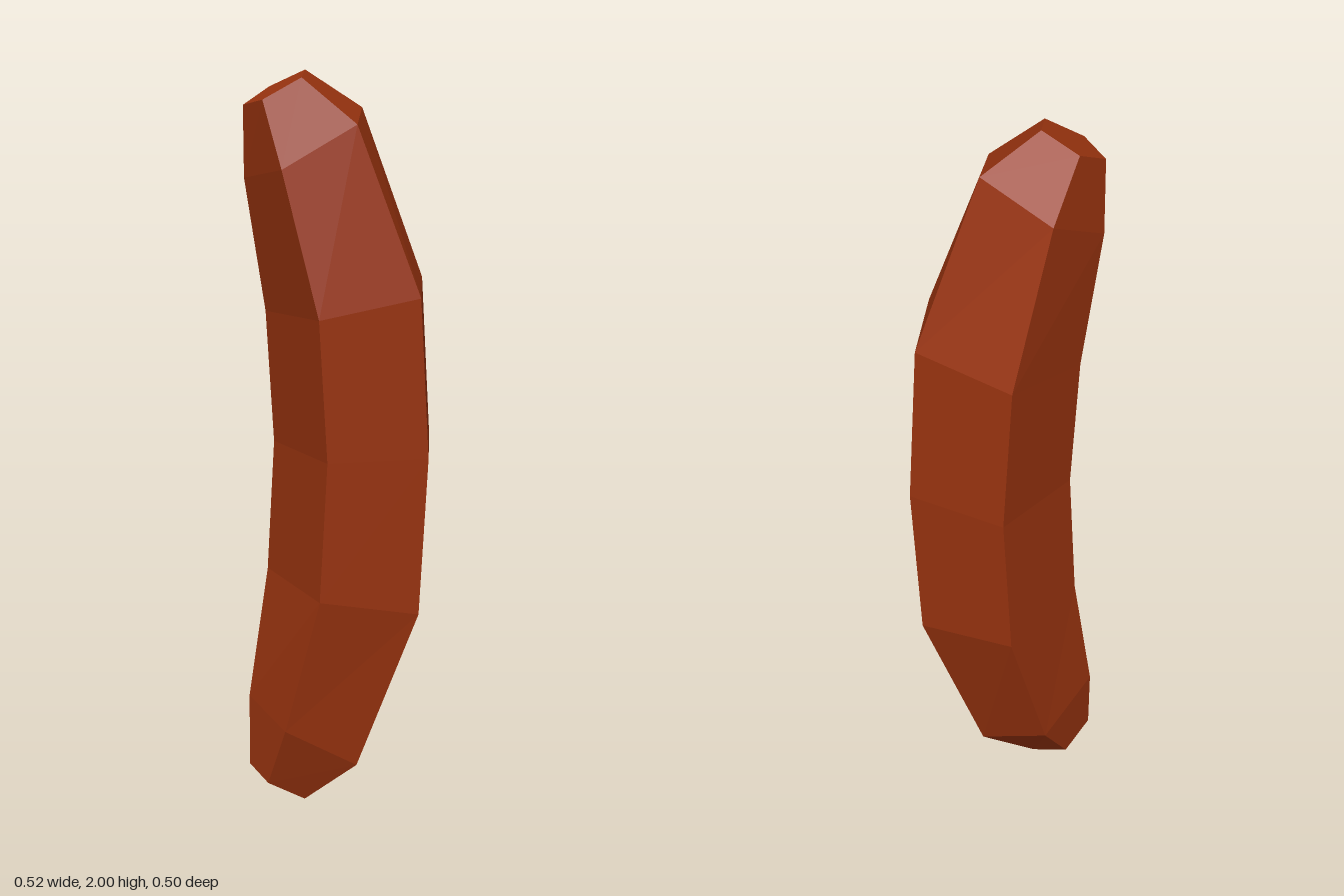
import * as THREE from 'three';

const SIDES = 5;

// Half of the curved body, middle to tip:
// centre x, centre y, radius across x, tilt (rise of y across x), radius across z
const HALF = [
  [0.04, 1.0, 0.231, 0, 0.276],
  [0.0175, 1.4, 0.229, 0.042, 0.276],
  [-0.1, 1.81, 0.168, 0.095, 0.19],
  [-0.1825, 1.955, 0.087, 0.047, 0.0995],
];

// Loft through five-sided rings, closed at both ends
function loft(rings) {
  const positions = [];
  const index = [];
  for (const [cx, cy, rx, tilt, rz] of rings) {
    for (let k = 0; k < SIDES; k++) {
      const a = (k / SIDES) * Math.PI * 2;
      positions.push(cx + rx * Math.sin(a), cy + tilt * Math.sin(a), 0.026 - rz * Math.cos(a));
    }
  }
  for (let r = 0; r < rings.length - 1; r++) {
    for (let k = 0; k < SIDES; k++) {
      const a = r * SIDES + k;
      const b = r * SIDES + ((k + 1) % SIDES);
      index.push(a, a + SIDES, b, b, a + SIDES, b + SIDES);
    }
  }
  const top = (rings.length - 1) * SIDES;
  for (let k = 1; k < SIDES - 1; k++) {
    index.push(0, k, k + 1);
    index.push(top, top + k + 1, top + k);
  }
  const indexed = new THREE.BufferGeometry();
  indexed.setAttribute('position', new THREE.Float32BufferAttribute(positions, 3));
  indexed.setIndex(index);
  const geometry = indexed.toNonIndexed();
  geometry.computeVertexNormals();
  return geometry;
}

export function createModel() {
  const group = new THREE.Group();
  group.name = 'sausage';

  const skin = new THREE.MeshStandardMaterial({ color: 0x98330f, flatShading: true });
  skin.name = 'reddish brown';

  // The lower half mirrors the upper half
  const lower = HALF.slice(1).reverse().map(([cx, cy, rx, tilt, rz]) => [cx, 2 - cy, rx, -tilt, rz]);
  const body = new THREE.Mesh(loft([...lower, ...HALF]), skin);
  body.name = 'sausageBody';
  group.add(body);

  return group;
}
